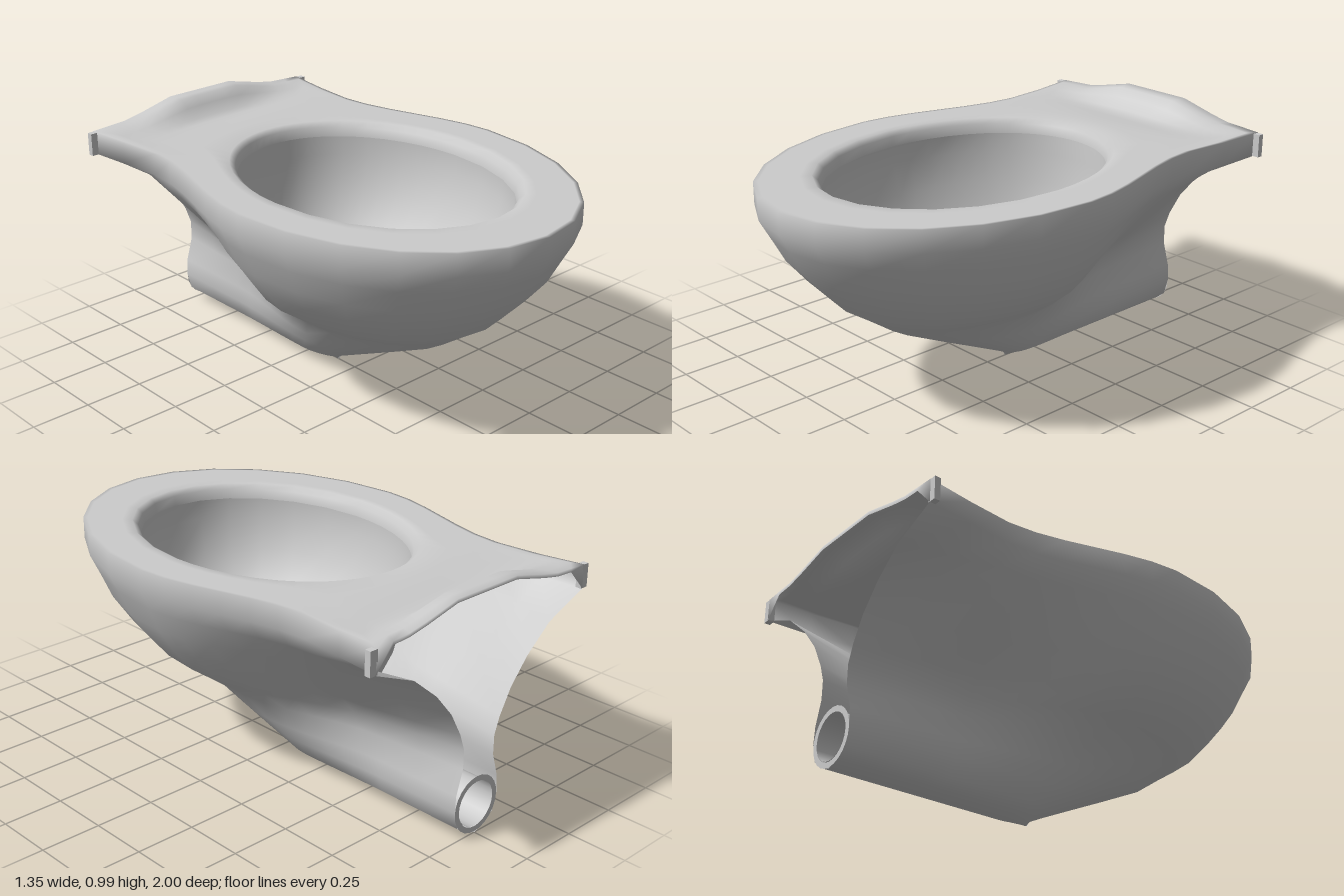
import * as THREE from 'three';
import { mergeGeometries, mergeVertices } from 'three/addons/utils/BufferGeometryUtils.js';

const material = new THREE.MeshStandardMaterial({ color: 0xcccccc, side: THREE.DoubleSide });
const lerp = THREE.MathUtils.lerp;
const smooth = THREE.MathUtils.smoothstep;

function addMesh(group, name, geometry) {
  const mesh = new THREE.Mesh(geometry, material);
  mesh.name = name;
  group.add(mesh);
  return mesh;
}

// Smooth skin through rows of [x, y, z] points
function skin(rows, closed) {
  const n = rows[0].length;
  const index = [];
  for (let i = 0; i < rows.length - 1; i++) {
    for (let j = 0; j < (closed ? n : n - 1); j++) {
      const k = (j + 1) % n;
      const a = i * n + j, b = i * n + k, c = a + n, d = b + n;
      index.push(a, c, b, b, c, d);
    }
  }
  const geometry = new THREE.BufferGeometry();
  geometry.setAttribute('position', new THREE.Float32BufferAttribute(rows.flat(2), 3));
  geometry.setIndex(index);
  geometry.computeVertexNormals();
  return geometry;
}

// U-shaped plan at one height, from the left back corner round the front to the right
function outline({ y, w, waist, back, front, c }) {
  const half = [];
  for (const z of [-1, -0.81]) half.push([lerp(back, waist, (z + 1) / 0.38), y, z]);
  for (let i = 0; i < 6; i++) {
    const t = i / 6;
    half.push([lerp(waist, w, smooth(t, 0, 1)), y, lerp(-0.62, c, t)]);
  }
  for (let i = 0; i <= 6; i++) {
    const a = (i / 6) * Math.PI / 2;
    half.push([i === 6 ? 0 : w * Math.cos(a), y, c + (front - c) * Math.sin(a)]);
  }
  const mirrored = half.slice(0, -1).reverse().map(([x, py, z]) => [-x, py, z]);
  return [...half, ...mirrored];
}

// Height of the top: flat rim, slight hollow behind it, raised lip at the wall
function deckHeight(x, z) {
  const ax = Math.abs(x);
  const lip = ax < 0.16 ? 0.07 : ax < 0.38 ? lerp(0.07, 0.017, (ax - 0.16) / 0.22) : lerp(0.017, 0.006, (ax - 0.38) / 0.2);
  const rise = Math.min(1, Math.max(0, (-0.86 - z) / 0.07));
  const hollow = 0.012 * Math.max(0, 1 - (x / 0.5) ** 2) * Math.exp(-(((z + 0.8) / 0.07) ** 2));
  return 0.92 + lip * rise - hollow;
}

const rim = { y: 0.83, w: 0.675, waist: 0.525, back: 0.56, front: 1, c: 0.1 };

export function createModel() {
  const group = new THREE.Group();
  group.name = 'wallHungToilet';

  // Outer shell, keel to rim
  const levels = [
    [0, 0, 0, 0, -0.1, -0.2],
    [0.02, 0.055, 0.055, 0.055, -0.09, -0.2],
    [0.055, 0.11, 0.1, 0.1, -0.02, -0.2],
    [0.13, 0.157, 0.125, 0.12, 0.14, -0.14],
    [0.2, 0.2, 0.125, 0.115, 0.29, -0.08],
    [0.3, 0.26, 0.12, 0.085, 0.5, 0],
    [0.38, 0.365, 0.14, 0.085, 0.615, 0.05],
    [0.45, 0.46, 0.19, 0.11, 0.72, 0.08],
    [0.55, 0.535, 0.29, 0.165, 0.815, 0.1],
    [0.65, 0.6, 0.38, 0.25, 0.9, 0.1],
    [0.75, 0.64, 0.47, 0.37, 0.955, 0.1],
  ].map(([y, w, waist, back, front, c]) => ({ y, w, waist, back, front, c }));
  const shell = skin([...levels, rim].map(outline), false);

  // Rim and rear deck: outer band, then rings shrinking to the oval opening
  const plan = outline(rim);
  const sides = plan.length;
  for (let i = 1; i < 14; i++) plan.push([lerp(-0.56, 0.56, i / 14), 0, -1]);
  const oval = ([x, , z]) => Math.atan2(x / 0.5, (z - 0.11) / 0.65);
  const rows = [plan.map(([x, , z], j) => [x, j < sides ? 0.83 : deckHeight(x, z) - 0.015, z])];
  for (const t of [0, 0.08, 0.15, 0.22, 0.3, 0.4, 0.5, 0.65, 0.8, 1]) {
    rows.push(plan.map((p) => {
      const a = oval(p);
      const x = lerp(p[0], 0.5 * Math.sin(a), t);
      const z = lerp(p[2], 0.11 + 0.65 * Math.cos(a), t);
      return [x, deckHeight(x, z), z];
    }));
  }
  const ring = ([y, c, w, l]) => plan.map((p) => {
    const a = oval(p);
    return [w * Math.sin(a), y, c + l * Math.cos(a)];
  });
  rows.push(ring([0.9, 0.11, 0.477, 0.627]), ring([0.86, 0.11, 0.47, 0.62]));

  // Weld shell and rim so the shading runs smoothly over the edge
  const body = mergeGeometries([shell, skin(rows, true)]);
  body.deleteAttribute('normal');
  const welded = mergeVertices(body, 1e-4);
  welded.computeVertexNormals();
  addMesh(group, 'shellAndRim', welded);

  // Inner bowl, its floor sloping back to the outlet
  addMesh(group, 'bowl', skin([
    [0.86, 0.11, 0.47, 0.62],
    [0.78, 0.11, 0.47, 0.615],
    [0.65, 0.1, 0.44, 0.6],
    [0.5, 0.08, 0.37, 0.55],
    [0.38, 0.02, 0.27, 0.44],
    [0.31, -0.08, 0.2, 0.31],
    [0.26, -0.2, 0.15, 0.16],
  ].map(ring), true));

  // Outlet: sections [y, z, half width, half height, tilt] bending from the bowl floor to the wall
  const outlet = [
    [0.26, -0.2, 0.15, 0.16, 90],
    [0.2, -0.25, 0.14, 0.13, 60],
    [0.14, -0.34, 0.115, 0.105, 25],
    [0.125, -0.5, 0.095, 0.095, 0],
    [0.125, -1, 0.095, 0.095, 0],
  ].map(([y, z, rx, ry, tilt]) => Array.from({ length: 24 }, (_, i) => {
    const a = (i / 24) * Math.PI * 2, p = THREE.MathUtils.degToRad(tilt);
    return [rx * Math.cos(a), y + ry * Math.sin(a) * Math.cos(p), z - ry * Math.sin(a) * Math.sin(p)];
  }));
  addMesh(group, 'outletPipe', skin(outlet, true));
  const end = addMesh(group, 'outletPipeEnd', new THREE.RingGeometry(0.095, 0.118, 24));
  end.rotation.y = Math.PI;
  end.position.set(0, 0.122, -1);

  // Small flanges at the back corners
  for (const side of [1, -1]) {
    const flange = addMesh(group, side > 0 ? 'leftFlange' : 'rightFlange', new THREE.BoxGeometry(0.035, 0.095, 0.025));
    flange.position.set(side * 0.5695, 0.878, -0.9875);
  }
  return group;
}
